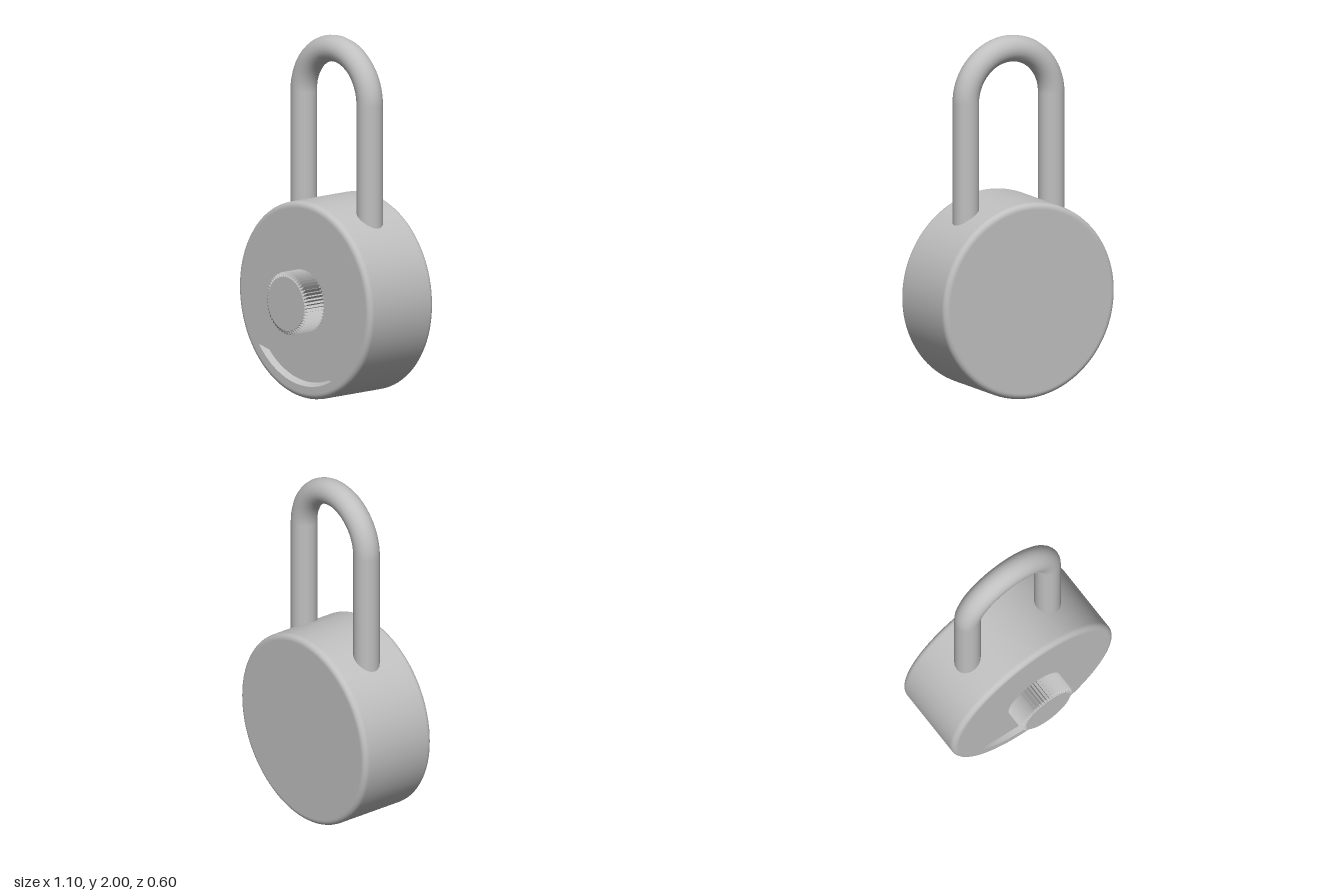
import * as THREE from 'three';

const CY = 0.55;        // height of the body's axis
const R = 0.548;        // body radius
const BACK = -0.302, FRONT = 0.168;
const FACE_R = 0.476;   // radius of the front face plate
const DEPTH = 0.03;     // depth of the crescent recess

export function createModel() {
  const steel = new THREE.MeshStandardMaterial({ color: 0xc0c0c0 });
  steel.name = 'steel grey';
  const model = new THREE.Group();
  model.name = 'padlock';

  function add(name, geometry, parent = model) {
    const mesh = new THREE.Mesh(geometry, steel);
    mesh.name = name;
    parent.add(mesh);
    return mesh;
  }

  // Lathe around the z axis from [radius, z] pairs
  function turned(name, profile) {
    const g = new THREE.LatheGeometry(profile.map(([r, z]) => new THREE.Vector2(r, z)), 96);
    g.rotateX(Math.PI / 2);
    return add(name, g, lock);
  }

  const lock = new THREE.Group();
  lock.name = 'lockBody';
  lock.position.y = CY;
  model.add(lock);

  // Drum with softly rounded rims, open at the front face
  const b = 0.03, profile = [[0, BACK], [R - b - 0.005, BACK]];
  for (let i = 0; i <= 6; i++) {
    const a = (i / 6) * Math.PI / 2;
    profile.push([R - b + b * Math.sin(a), BACK + b - b * Math.cos(a)]);
  }
  profile.push([R, BACK + b + 0.005], [R, FRONT - b - 0.005]);
  for (let i = 0; i <= 6; i++) {
    const a = (i / 6) * Math.PI / 2;
    profile.push([R - b + b * Math.cos(a), FRONT - b + b * Math.sin(a)]);
  }
  profile.push([R - b - 0.005, FRONT], [FACE_R, FRONT]);
  turned('drum', profile);

  // Sloping wall and floor of the crescent recess
  turned('recessWall', [[FACE_R, FRONT], [FACE_R - 0.02, FRONT - DEPTH]]);
  turned('recessFloor', [[FACE_R - 0.02, FRONT - DEPTH], [0, FRONT - DEPTH]]);

  // Front plate: a disc with a tilted segment cut off
  const face = new THREE.Shape();
  face.absarc(0, 0, FACE_R, THREE.MathUtils.degToRad(-61.2), THREE.MathUtils.degToRad(218.8), false);
  face.closePath();
  const plate = new THREE.ExtrudeGeometry(face, { depth: DEPTH, bevelEnabled: false, curveSegments: 90 });
  plate.translate(0, 0, FRONT - DEPTH);
  add('frontPlate', plate, lock);

  // Knurled knob with a chamfered front edge
  const teeth = 54;
  const points = [];
  for (let i = 0; i < teeth * 2; i++) {
    const a = (i / (teeth * 2)) * Math.PI * 2;
    const r = i % 2 ? 0.154 : 0.175;
    points.push(new THREE.Vector2(r * Math.cos(a), r * Math.sin(a)));
  }
  const star = new THREE.Shape(points);
  const chamfer = 0.013, knobFront = 0.298;
  const grip = new THREE.ExtrudeGeometry(star, { depth: knobFront - chamfer - FRONT + 0.01, bevelEnabled: false });
  grip.translate(0, 0, FRONT - 0.01);
  add('knobGrip', grip, lock);

  const cap = new THREE.ExtrudeGeometry(star, { depth: chamfer, bevelEnabled: false });
  const p = cap.attributes.position;
  for (let i = 0; i < p.count; i++) {
    if (p.getZ(i) < chamfer / 2) continue;
    const s = Math.min(1, 0.15 / Math.hypot(p.getX(i), p.getY(i)));
    p.setXY(i, p.getX(i) * s, p.getY(i) * s);
  }
  cap.computeVertexNormals();
  cap.translate(0, 0, knobFront - chamfer);
  add('knobCap', cap, lock);

  // Shackle: half ring on two straight legs
  const shackle = new THREE.Group();
  shackle.name = 'shackle';
  shackle.position.z = -0.072;
  model.add(shackle);
  const ringR = 0.274, rod = 0.073, bendY = 2 - ringR - rod, legBottom = 0.8;
  add('shackleBend', new THREE.TorusGeometry(ringR, rod, 20, 40, Math.PI), shackle).position.y = bendY;
  for (const side of [-1, 1]) {
    const leg = add(side > 0 ? 'leftLeg' : 'rightLeg',
      new THREE.CylinderGeometry(rod, rod, bendY - legBottom, 20, 1, true), shackle);
    leg.position.set(side * ringR, (bendY + legBottom) / 2, 0);
  }

  return model;
}
